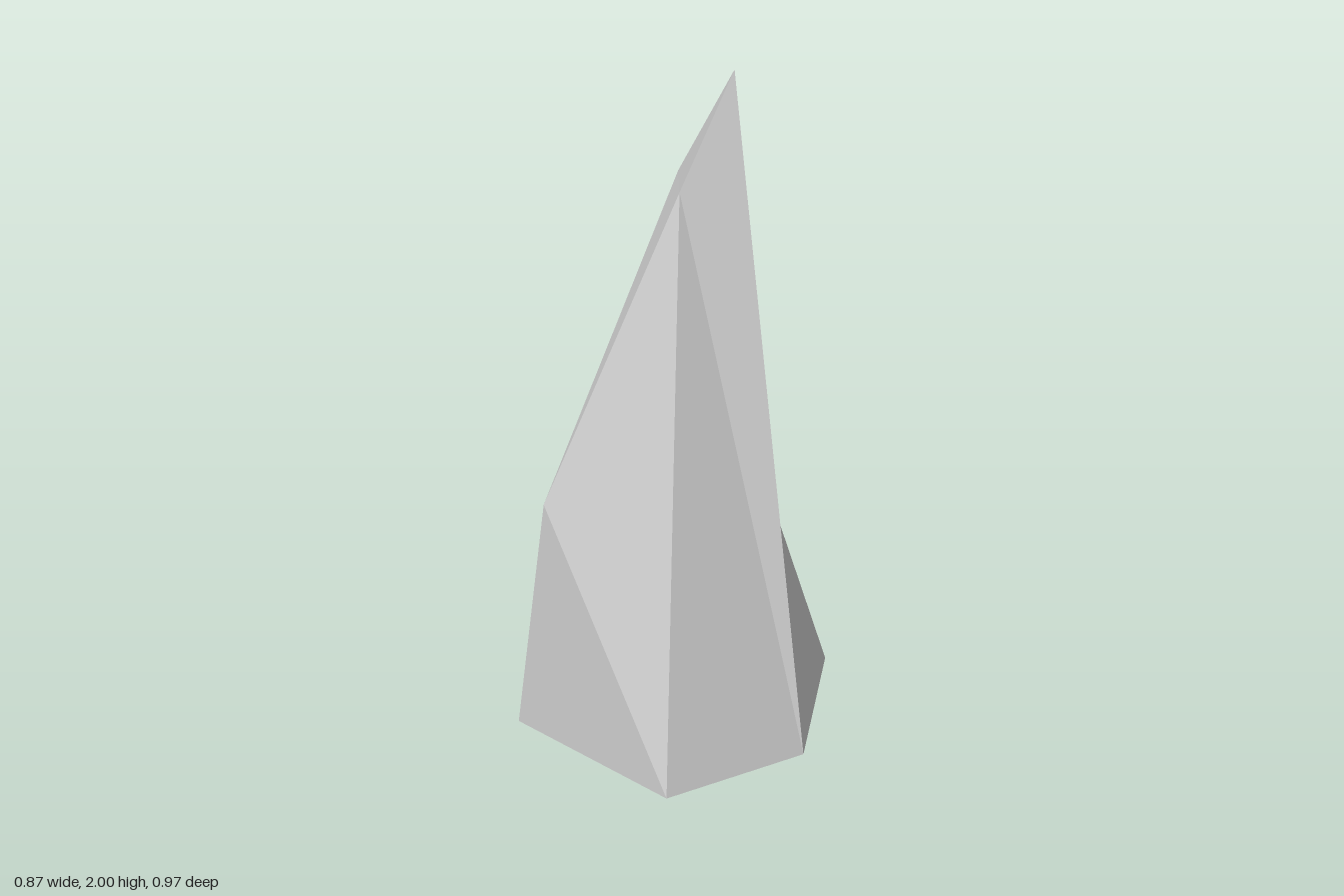
import * as THREE from 'three';

// A faceted five-sided rock spire: a base ring and an uneven shoulder ring above it.
export function createModel() {
  const base = [
    [-0.437, 0.01, -0.215], [-0.368, 0, 0.39], [0.272, 0.022, 0.482], [0.435, 0.026, 0.055], [0.125, 0.005, -0.485],
  ];
  const shoulder = [
    [-0.195, 1.61, -0.16], [-0.255, 0.74, 0.38], [0, 1.645, 0.077], [0.137, 2, 0.012], [0.037, 0.69, -0.267],
  ];
  const n = base.length;
  const index = [];

  // Side panels, each split along one diagonal
  const flipped = 3;
  for (let i = 0; i < n; i++) {
    const j = (i + 1) % n;
    if (i === flipped) index.push(i, j, n + j, i, n + j, n + i);
    else index.push(i, j, n + i, j, n + j, n + i);
  }

  // Sloping crown and underside, fanned from the first corner
  for (let i = 1; i < n - 1; i++) {
    index.push(n, n + i, n + i + 1);
    index.push(0, i + 1, i);
  }

  const indexed = new THREE.BufferGeometry();
  indexed.setAttribute('position', new THREE.Float32BufferAttribute([...base, ...shoulder].flat(), 3));
  indexed.setIndex(index);
  const geometry = indexed.toNonIndexed();
  geometry.computeVertexNormals();

  const rock = new THREE.Mesh(geometry, new THREE.MeshStandardMaterial({ color: 0xcccccc, flatShading: true }));
  rock.name = 'rockSpire';
  const group = new THREE.Group();
  group.name = 'rock';
  group.add(rock);
  return group;
}
